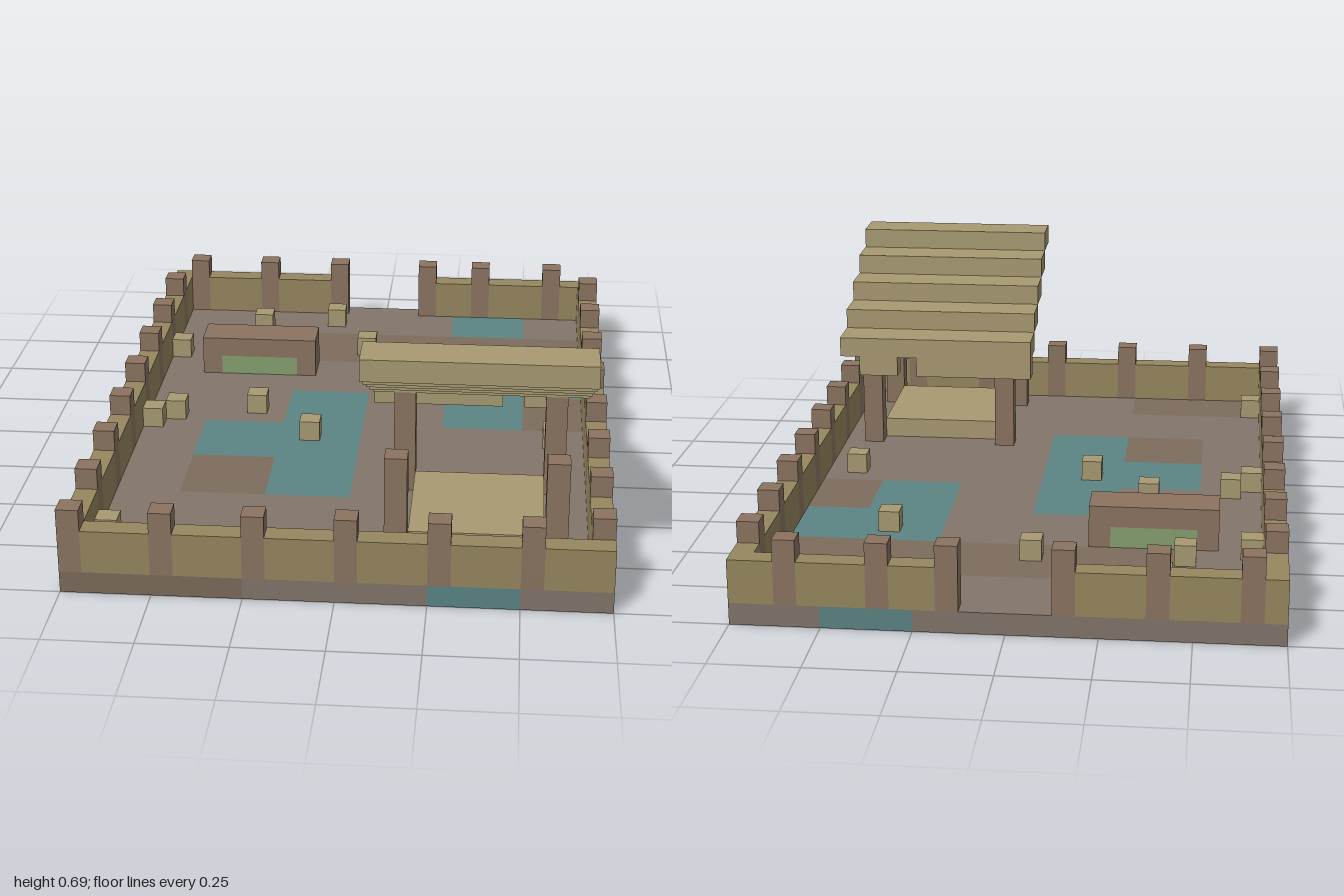
import * as THREE from 'three';

// All parts sit on a block grid of 24 x 32 cells; one block is 1/16 unit.
const U = 1 / 16, NX = 24, NZ = 32;
const COLORS = {
  earth: 0x83756a, mud: 0x7c6c5c, water: 0x5c8484, wall: 0x96875f,
  timber: 0x8b7460, straw: 0xa89a72, green: 0x86a070,
};

export function createModel() {
  const solid = new Set();
  const key = (p) => p.join();
  const parts = [];

  // A part is a list of boxes [x0, x1, y0, y1, z0, z1] in block units.
  // Cells already taken by an earlier part stay with that part.
  function part(name, color, boxes) {
    const cells = [];
    for (const [x0, x1, y0, y1, z0, z1] of boxes)
      for (let x = x0; x < x1; x++)
        for (let y = y0; y < y1; y++)
          for (let z = z0; z < z1; z++) {
            const c = [x, y, z];
            if (solid.has(key(c))) continue;
            solid.add(key(c));
            cells.push(c);
          }
    parts.push({ name, color, cells });
  }
  const column = (x, z, y0, y1) => [x, x + 1, y0, y1, z, z + 1];

  // Ground: tiles of 4 x 4 blocks
  const tile = ([c, r]) => [c * 4, c * 4 + 4, 0, 1, r * 4, r * 4 + 4];
  part('pools', COLORS.water,
    [[4, 0], [4, 2], [5, 2], [4, 3], [2, 3], [2, 4], [1, 4], [2, 5], [4, 7]].map(tile));
  part('mudPatches', COLORS.mud,
    [[1, 1], [2, 1], [3, 1], [4, 1], [5, 1], [5, 3], [1, 5], [0, 7], [1, 7]].map(tile));
  part('ground', COLORS.earth, [[0, NX, 0, 1, 0, NZ]]);

  // Palisade posts, every fourth block around the edge
  const palisade = [];
  for (let x = 0; x <= 20; x += 4) palisade.push(column(x, 31, 1, 4));
  for (let z = 2; z <= 30; z += 4) palisade.push(column(23, z, 1, 4));
  for (const x of [1, 5, 9, 14, 17, 21]) palisade.push(column(x, 0, 1, 4));
  for (let z = 3; z <= 27; z += 4) palisade.push(column(0, z, 1, 4));
  part('palisadePosts', COLORS.timber, palisade);

  // Walls between the posts, with a gateway at the back
  part('walls', COLORS.wall, [
    [0, NX, 1, 3, 31, 32], [0, 1, 1, 3, 0, NZ], [23, 24, 1, 3, 0, NZ],
    [0, 10, 1, 3, 0, 1], [14, NX, 1, 3, 0, 1],
  ]);

  // Shelter: four posts, a low platform and a stepped roof with a broken lip
  const shelterPosts = [];
  for (const x of [14, 21]) for (const z of [22, 29]) shelterPosts.push(column(x, z, 1, 6));
  part('shelterPosts', COLORS.timber, shelterPosts);
  part('platform', COLORS.straw, [[15, 21, 1, 2, 23, 29]]);
  const roof = [[13, 19, 5, 6, 21, 22], [20, 22, 5, 6, 21, 22]];
  for (let s = 0; s < 5; s++) roof.push([13, 23, 6 + s, 7 + s, 21 + 2 * s, 23 + 2 * s]);
  part('steppedRoof', COLORS.straw, roof);

  // Trough: timber frame around a green filling
  part('troughFilling', COLORS.green, [[4, 8, 1, 2, 8, 10]]);
  part('troughFrame', COLORS.timber, [[3, 9, 1, 3, 8, 10]]);

  // Loose blocks scattered on the ground
  part('looseBlocks', COLORS.straw, [
    [5, 3], [9, 2], [4, 6], [11, 6], [1, 7], [18, 9],
    [6, 14], [2, 15], [1, 16], [9, 17], [21, 17], [1, 28],
  ].map(([x, z]) => column(x, z, 1, 2)));

  // Only the exposed block faces are drawn; the underside is open.
  function skin(cells) {
    const pos = [], nor = [], idx = [];
    for (const c of cells)
      for (let a = 0; a < 3; a++)
        for (const s of [1, -1]) {
          const next = [...c];
          next[a] += s;
          if (next[1] < 0 || solid.has(key(next))) continue;
          const u = (a + 1) % 3, v = (a + 2) % 3, n = [0, 0, 0], b = pos.length / 3;
          n[a] = s;
          for (const [du, dv] of [[0, 0], [1, 0], [1, 1], [0, 1]]) {
            const p = [...c];
            p[a] += s > 0 ? 1 : 0;
            p[u] += du;
            p[v] += dv;
            pos.push((p[0] - NX / 2) * U, p[1] * U, (p[2] - NZ / 2) * U);
            nor.push(...n);
          }
          idx.push(...(s > 0 ? [0, 1, 2, 0, 2, 3] : [0, 2, 1, 0, 3, 2]).map((i) => i + b));
        }
    const g = new THREE.BufferGeometry();
    g.setAttribute('position', new THREE.Float32BufferAttribute(pos, 3));
    g.setAttribute('normal', new THREE.Float32BufferAttribute(nor, 3));
    g.setIndex(idx);
    return g;
  }

  const model = new THREE.Group();
  model.name = 'walledYard';
  for (const { name, color, cells } of parts) {
    const mesh = new THREE.Mesh(skin(cells),
      new THREE.MeshStandardMaterial({ color, side: THREE.DoubleSide }));
    mesh.name = name;
    model.add(mesh);
  }
  return model;
}
